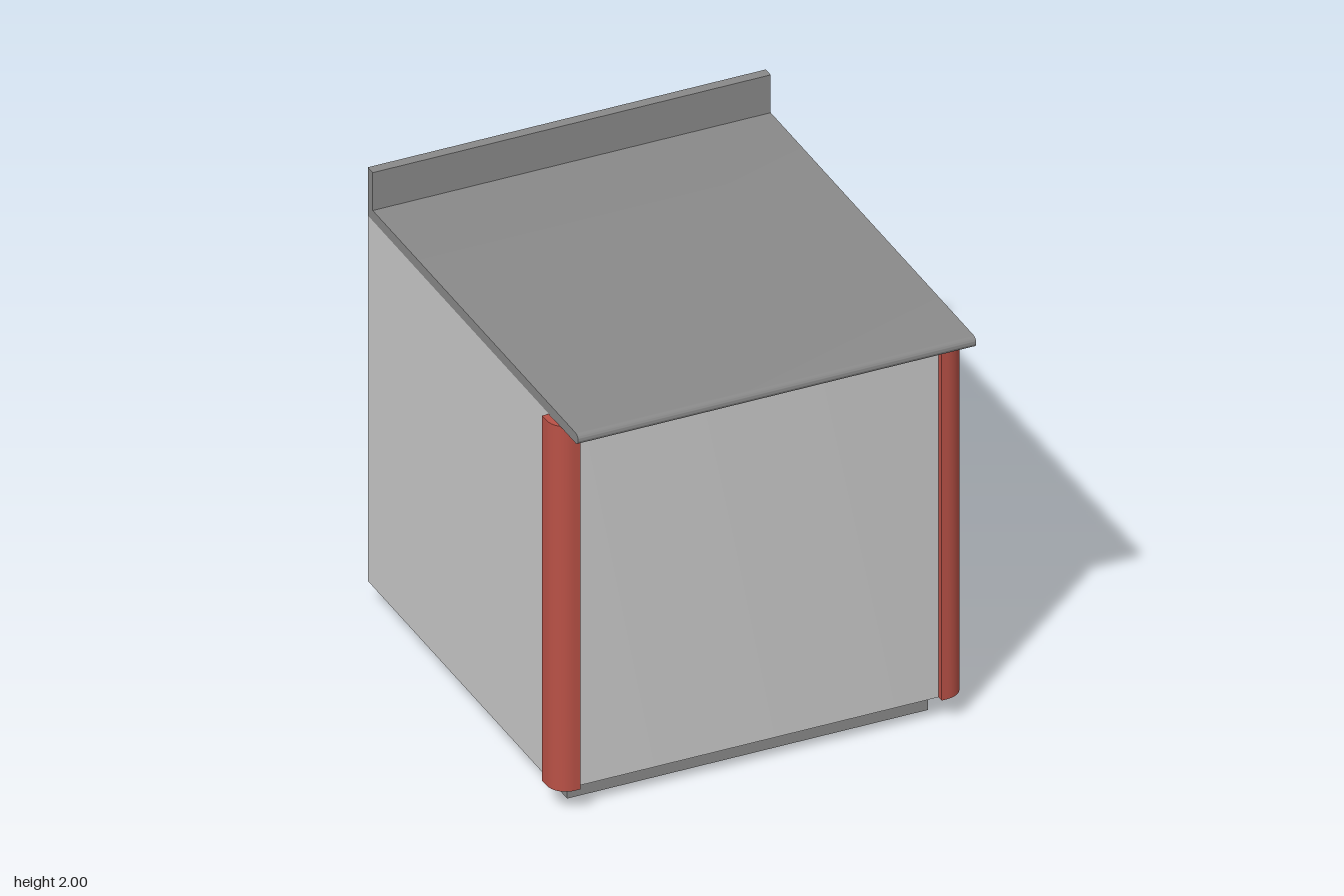
import * as THREE from 'three';
import { toCreasedNormals } from 'three/addons/utils/BufferGeometryUtils.js';

const material = (name, color) => {
  const m = new THREE.MeshStandardMaterial({ color });
  m.name = name;
  return m;
};

// Extrude a shape and keep only its real corners sharp
const extrude = (shape, depth) => toCreasedNormals(
  new THREE.ExtrudeGeometry(shape, { depth, bevelEnabled: false, curveSegments: 12 }), 0.6);

// Stand a floor-plan shape (x, z) between two heights
const upright = (shape, bottom, top) =>
  extrude(shape, top - bottom).rotateX(Math.PI / 2).translate(0, top, 0);

export function createModel() {
  const group = new THREE.Group();
  const panelGrey = material('light grey panel', 0xc9c9c9);
  const trimGrey = material('dark grey worktop', 0x898989);
  const red = material('red corner trim', 0xb95146);

  const add = (name, geometry, mat) => {
    const mesh = new THREE.Mesh(geometry, mat);
    mesh.name = name;
    group.add(mesh);
  };

  const BOTTOM = 0.11, TOP = 1.78, BACK = -0.96;
  const SIDE = 0.86, FRONT = 0.785, R = 0.055, T = 0.028;

  // Recessed plinth
  add('plinth', new THREE.BoxGeometry(1.56, BOTTOM, 1.56).translate(0, BOTTOM / 2, -0.09), trimGrey);

  // Cabinet body with rounded front corners
  const plan = new THREE.Shape();
  plan.moveTo(-SIDE, BACK);
  plan.lineTo(SIDE, BACK);
  plan.lineTo(SIDE, FRONT - R);
  plan.absarc(SIDE - R, FRONT - R, R, 0, Math.PI / 2, false);
  plan.lineTo(-SIDE + R, FRONT);
  plan.absarc(-SIDE + R, FRONT - R, R, Math.PI / 2, Math.PI, false);
  plan.closePath();
  add('cabinetBody', upright(plan, BOTTOM, TOP), panelGrey);

  // Curved guards wrapped round the two front corners
  for (const [name, s] of [['leftCornerGuard', 1], ['rightCornerGuard', -1]]) {
    const guard = new THREE.Shape();
    const arc = (radius, from, to) => {
      for (let i = 0; i <= 12; i++) {
        const a = from + (to - from) * i / 12;
        guard.lineTo(s * (SIDE - R + radius * Math.cos(a)), FRONT - R + radius * Math.sin(a));
      }
    };
    guard.moveTo(s * SIDE, 0.69);
    guard.lineTo(s * (SIDE + T), 0.69);
    arc(R + T, 0, Math.PI / 2);
    guard.lineTo(s * 0.78, FRONT + T);
    guard.lineTo(s * 0.78, FRONT);
    arc(R, Math.PI / 2, 0);
    guard.closePath();
    add(name, upright(guard, BOTTOM, TOP - 0.002), red);
  }

  // Worktop and upstand as one side profile (z, y), with a rounded nose
  const nose = 0.0235;
  const profile = new THREE.Shape();
  profile.moveTo(BACK, TOP);
  profile.lineTo(0.96 - nose, TOP);
  profile.absarc(0.96 - nose, TOP + nose, nose, -Math.PI / 2, Math.PI / 2, false);
  profile.lineTo(-0.915, TOP + 2 * nose);
  profile.lineTo(-0.915, 2);
  profile.lineTo(BACK, 2);
  profile.closePath();
  add('worktop', extrude(profile, 2 * SIDE).translate(0, 0, -SIDE).rotateY(-Math.PI / 2), trimGrey);

  return group;
}
